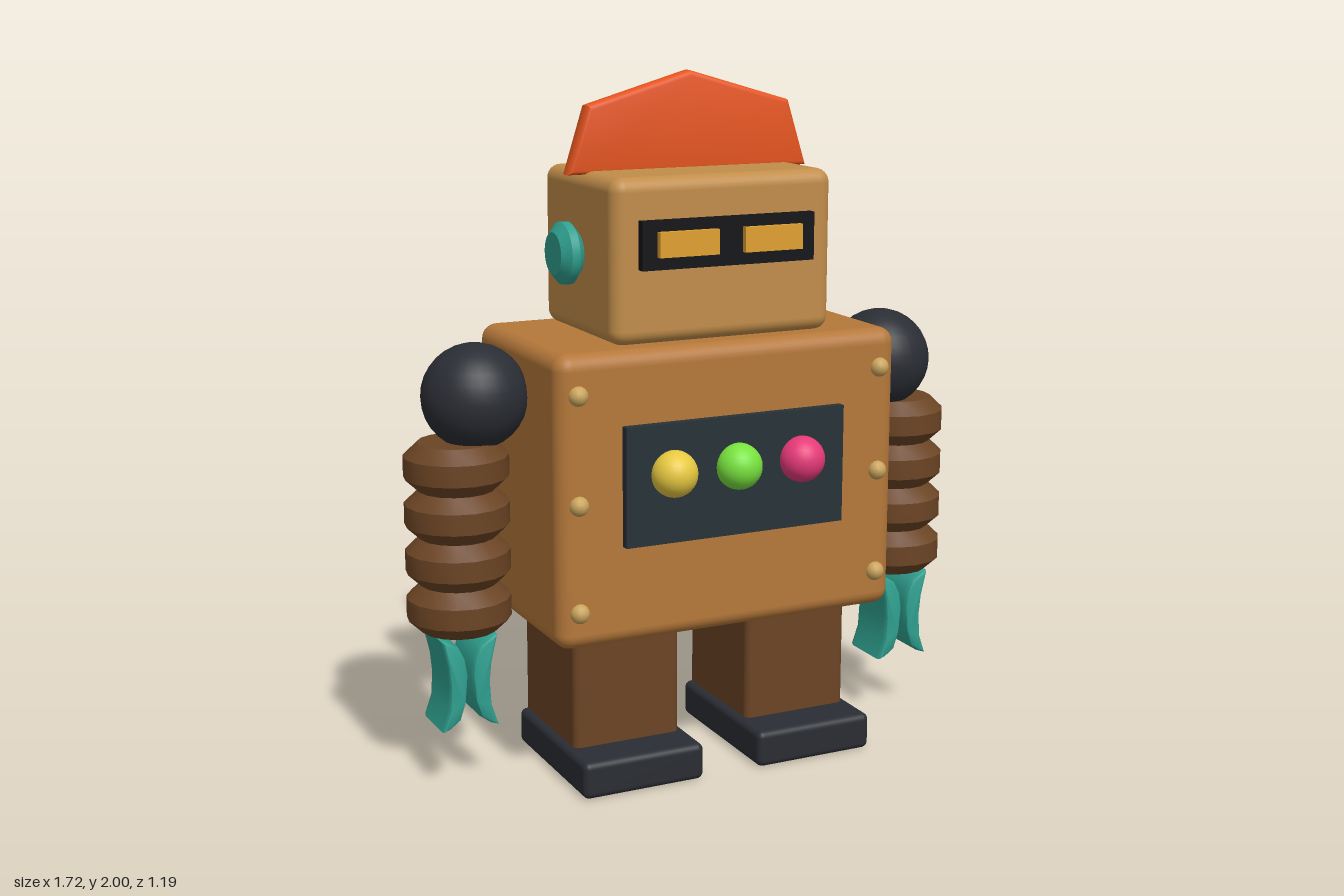
import * as THREE from 'three';
import { toCreasedNormals } from 'three/addons/utils/BufferGeometryUtils.js';
import { RoundedBoxGeometry } from 'three/addons/geometries/RoundedBoxGeometry.js';

const COLORS = {
  copper: 0xb5783a, tan: 0xc18d4a, brown: 0x6b4424, dark: 0x2a2d34, teal: 0x2fa08f,
  orange: 0xe65520, panel: 0x273238, black: 0x131418, amber: 0xe0a030,
  yellow: 0xe6c840, green: 0x78e23e, pink: 0xe63a78, brass: 0xc9a45c,
};
const MID = 0.195; // depth of the body's centre plane

export function createModel() {
  const robot = new THREE.Group();
  robot.name = 'robot';

  const mats = {};
  for (const key in COLORS) mats[key] = new THREE.MeshStandardMaterial({ color: COLORS[key] });

  const add = (name, geometry, color, x, y, z, parent = robot) => {
    const mesh = new THREE.Mesh(geometry, mats[color]);
    mesh.name = name;
    mesh.position.set(x, y, z);
    parent.add(mesh);
    return mesh;
  };

  // Box given by its [min, max] extents
  const box = (name, color, [x0, x1], [y0, y1], [z0, z1], r = 0) => {
    const size = [x1 - x0, y1 - y0, z1 - z0];
    const geo = r ? new RoundedBoxGeometry(...size, 4, r) : new THREE.BoxGeometry(...size);
    return add(name, geo, color, (x0 + x1) / 2, (y0 + y1) / 2, (z0 + z1) / 2);
  };

  const sphere = (name, color, r, x, y, z, seg = 32) =>
    add(name, new THREE.SphereGeometry(r, seg, seg / 2), color, x, y, z);

  const lathe = (profile, segments) => toCreasedNormals(
    new THREE.LatheGeometry(profile.map(p => new THREE.Vector2(...p)), segments), 0.5);

  // Bevelled plate centred on its own thickness, keeping the drawn outline
  const plate = (points, thickness, bevel, bevelDepth = bevel) => {
    const shape = new THREE.Shape(points.map(p => new THREE.Vector2(...p)));
    const geo = new THREE.ExtrudeGeometry(shape, {
      depth: thickness - 2 * bevelDepth, bevelEnabled: true, bevelSize: bevel,
      bevelOffset: -bevel, bevelThickness: bevelDepth, bevelSegments: 3,
    });
    geo.translate(0, 0, bevelDepth - thickness / 2);
    return toCreasedNormals(geo, 0.6);
  };

  // Torso and head
  box('torso', 'copper', [-0.53, 0.53], [0.44, 1.27], [-0.11, 0.495], 0.045);
  box('head', 'tan', [-0.34, 0.34], [1.27, 1.73], [-0.055, 0.44], 0.04);

  // Crest across the top of the head
  add('crest', plate([[-0.375, 1.72], [0.375, 1.72], [0.315, 1.91], [0, 2], [-0.315, 1.91]], 0.055, 0.015),
    'orange', 0, 0, MID);

  // Visor and eyes
  box('visor', 'black', [-0.265, 0.265], [1.48, 1.615], [0.42, 0.465]);
  for (const s of [-1, 1]) {
    box('eye', 'amber', [s * 0.13 - 0.09, s * 0.13 + 0.09], [1.515, 1.585], [0.45, 0.482]);
  }

  // Chest panel with its three buttons
  box('chestPanel', 'panel', [-0.34, 0.34], [0.725, 1.065], [0.48, 0.52]);
  ['yellow', 'green', 'pink'].forEach((color, i) =>
    sphere('button', color, 0.066, (i - 1) * 0.2, 0.925, 0.53));

  // Shared geometry for the mirrored parts
  const earGeo = lathe([[0, -0.035], [0.06, -0.035], [0.088, -0.012], [0.088, 0.012], [0.06, 0.035], [0, 0.035]], 32);
  const ringGeo = lathe([[0, -0.068], [0.108, -0.068], [0.148, -0.03], [0.148, 0.03], [0.108, 0.068], [0, 0.068]], 16);
  const prongGeo = plate([
    [-0.084, 0.448], [-0.066, 0.37], [-0.06, 0.31], [-0.064, 0.24], [-0.084, 0.178],
    [-0.06, 0.186], [-0.03, 0.208], [-0.013, 0.26], [-0.006, 0.34], [-0.014, 0.388], [-0.032, 0.424], [-0.07, 0.448],
  ], 0.175, 0.008, 0.02);

  for (const s of [-1, 1]) {
    add('ear', earGeo, 'teal', s * 0.38, 1.503, MID).rotation.z = Math.PI / 2;
    for (const y of [0.55, 0.855, 1.16]) sphere('rivet', 'brass', 0.028, s * 0.47, y, 0.495, 16);

    // Arm: ball shoulder, four bellows rings and a two-pronged claw
    sphere('shoulder', 'dark', 0.15, s * 0.655, 1.12, MID);
    for (let i = 0; i < 4; i++) add('armRing', ringGeo, 'brown', s * 0.713, 0.93 - i * 0.136, MID);
    const claw = new THREE.Group();
    claw.name = 'claw';
    claw.position.set(s * 0.713, 0, MID);
    robot.add(claw);
    add('outerProng', prongGeo, 'teal', 0, 0, 0, claw);
    add('innerProng', prongGeo, 'teal', 0, 0, 0, claw).rotation.y = Math.PI;

    // Leg and foot
    const x = s * 0.275;
    box('leg', 'brown', [x - 0.165, x + 0.165], [0.08, 0.43], [0.005, 0.38], 0.02);
    box('foot', 'dark', [x - 0.187, x + 0.187], [0, 0.108], [0.003, 0.503], 0.02);
  }

  // Wind-up key on the back: shaft and flat two-winged blade
  add('keyShaft', new THREE.CylinderGeometry(0.034, 0.034, 0.26, 12), 'teal', 0, 0.968, -0.21)
    .rotation.x = Math.PI / 2;
  add('keyBlade', plate([
    [0.155, 1], [0.18, 0.905], [0.37, 0.85], [0.545, 0.9], [0.597, 0.995],
    [0.507, 1.085], [0.37, 0.975], [0.235, 1.085],
  ], 0.034, 0.008), 'teal', 0, 0, 0).rotation.y = Math.PI / 2;

  return robot;
}
